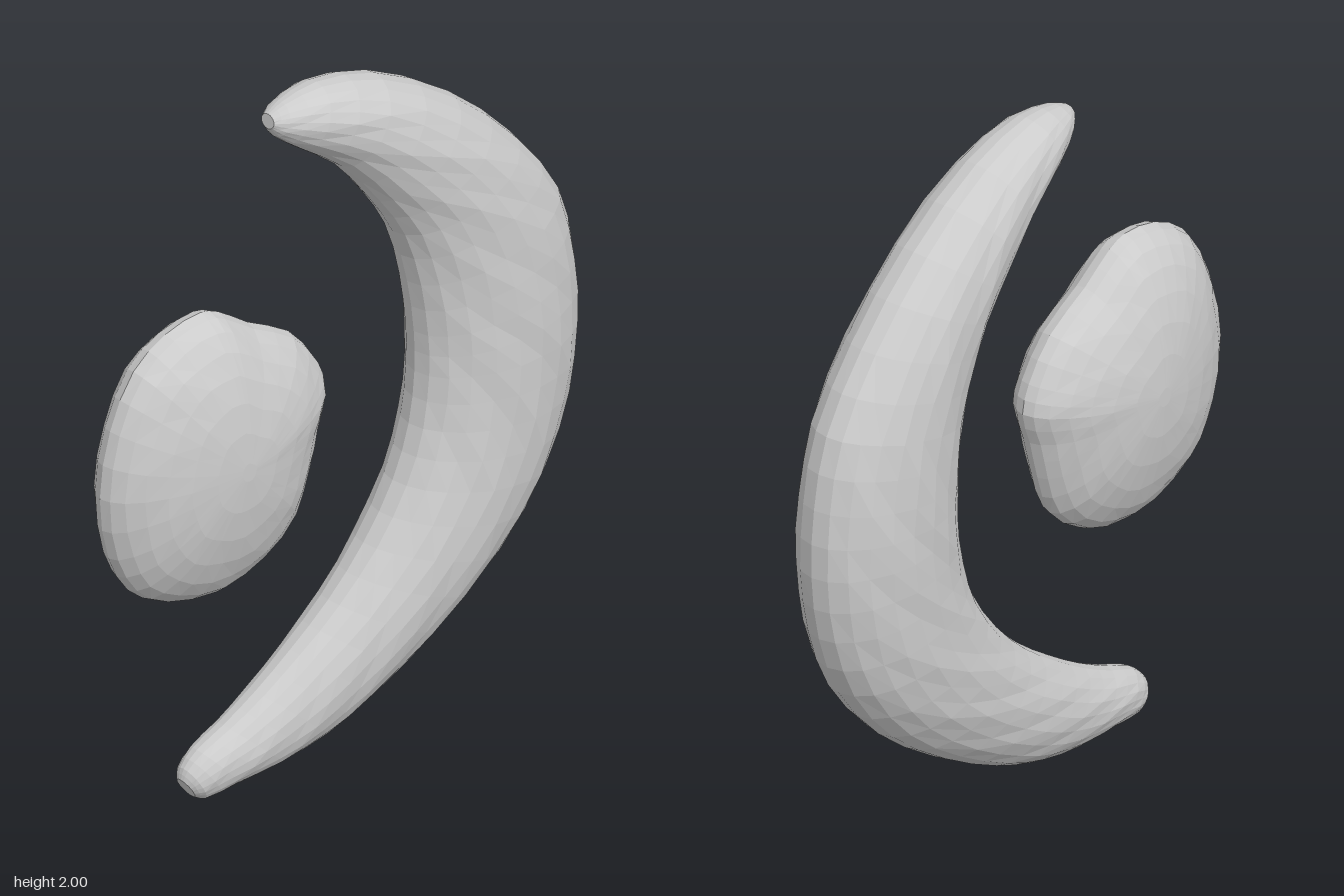
import * as THREE from 'three';

const material = new THREE.MeshStandardMaterial({ color: 0xcccccc, flatShading: true });

// Skin a list of closed rings (equal point counts) and fan-close both ends.
function loft(rings) {
  const n = rings[0].length, last = rings.length - 1;
  const positions = [], index = [];
  rings.forEach(r => r.forEach(p => positions.push(p.x, p.y, p.z)));
  const centre = r => r.reduce((s, p) => s.add(p), new THREE.Vector3()).divideScalar(n);
  [rings[0], rings[last]].forEach(r => positions.push(...centre(r).toArray()));
  const startCap = rings.length * n, endCap = startCap + 1;
  for (let j = 0; j < n; j++) {
    const k = (j + 1) % n;
    for (let i = 0; i < last; i++) {
      const a = i * n + j, b = i * n + k;
      index.push(a, b, a + n, b, b + n, a + n);
    }
    index.push(startCap, k, j, endCap, last * n + j, last * n + k);
  }
  const g = new THREE.BufferGeometry();
  g.setAttribute('position', new THREE.Float32BufferAttribute(positions, 3));
  g.setIndex(index);
  g.computeVertexNormals();
  return g;
}

// Crescent: each station is outer edge x,y, inner edge x,y and half depth.
function crescentGeometry() {
  const stations = [
    [-0.225, 1.965, -0.23, 1.925, 0.025], [-0.18, 1.985, -0.21, 1.895, 0.05],
    [-0.06, 2, -0.13, 1.83, 0.09], [0.14, 1.95, 0, 1.73, 0.12],
    [0.39, 1.8, 0.12, 1.58, 0.14], [0.6, 1.6, 0.2, 1.45, 0.15],
    [0.74, 1.4, 0.25, 1.28, 0.157], [0.79, 1.2, 0.273, 1.12, 0.163],
    [0.8, 1, 0.275, 1, 0.165], [0.77, 0.8, 0.255, 0.85, 0.163],
    [0.69, 0.6, 0.2, 0.7, 0.16], [0.53, 0.4, 0.1, 0.55, 0.15],
    [0.31, 0.23, -0.02, 0.425, 0.132], [0.1, 0.11, -0.15, 0.325, 0.115],
    [-0.05, 0.05, -0.27, 0.245, 0.1], [-0.2, 0.02, -0.38, 0.185, 0.085],
    [-0.35, 0.01, -0.47, 0.145, 0.07], [-0.46, 0, -0.515, 0.105, 0.05],
    [-0.49, 0.015, -0.525, 0.075, 0.03],
  ];
  const curve = f => new THREE.CatmullRomCurve3(stations.map(f));
  const outer = curve(s => new THREE.Vector3(s[0], s[1], s[4]));
  const inner = curve(s => new THREE.Vector3(s[2], s[3], 0));
  const steps = (stations.length - 1) * 2, sides = 22, rings = [];
  for (let i = 0; i <= steps; i++) {
    const o = outer.getPoint(i / steps), q = inner.getPoint(i / steps);
    const ring = [];
    for (let j = 0; j < sides; j++) {
      const a = (j / sides) * Math.PI * 2, t = (1 + Math.cos(a)) / 2;
      const depth = o.z * (1 + 0.02 * Math.sin(i * 1.9 + j * 2.3));
      ring.push(new THREE.Vector3(
        q.x + (o.x - q.x) * t, q.y + (o.y - q.y) * t, depth * Math.sin(a) - 0.003));
    }
    rings.push(ring);
  }
  return loft(rings);
}

// Pebble: an irregular outline shrunk towards domed front and back faces.
function pebbleGeometry() {
  const outline = [
    [-0.46, 1.46], [-0.58, 1.44], [-0.69, 1.37], [-0.77, 1.22], [-0.805, 1.03],
    [-0.775, 0.84], [-0.71, 0.72], [-0.6, 0.645], [-0.43, 0.61], [-0.28, 0.65],
    [-0.16, 0.75], [-0.11, 0.88], [-0.08, 1], [-0.05, 1.1], [-0.075, 1.18],
    [-0.16, 1.29], [-0.3, 1.37], [-0.4, 1.44],
  ];
  const curve = new THREE.CatmullRomCurve3(
    outline.map(([x, y]) => new THREE.Vector3(x, y, 0)), true);
  const cx = -0.43, cy = 1.04, sides = 36, layers = 14, rings = [];
  for (let i = 0; i <= layers; i++) {
    const phi = (i / layers - 0.5) * Math.PI * 0.96;
    const s = Math.cos(phi), ring = [];
    for (let j = 0; j < sides; j++) {
      const p = curve.getPoint(j / sides);
      const dent = 1 + 0.012 * Math.sin(i * 2.1 + j * 1.7) * Math.sin(phi);
      ring.push(new THREE.Vector3(
        cx + (p.x - cx) * s * dent, cy + (p.y - cy) * s * dent,
        0.163 * Math.sign(phi) * Math.abs(Math.sin(phi)) ** 1.1));
    }
    rings.push(ring);
  }
  return loft(rings);
}

export function createModel() {
  const group = new THREE.Group();
  const add = (name, geometry) => {
    const mesh = new THREE.Mesh(geometry, material);
    mesh.name = name;
    group.add(mesh);
  };
  add('crescent', crescentGeometry());
  add('pebble', pebbleGeometry());
  return group;
}
